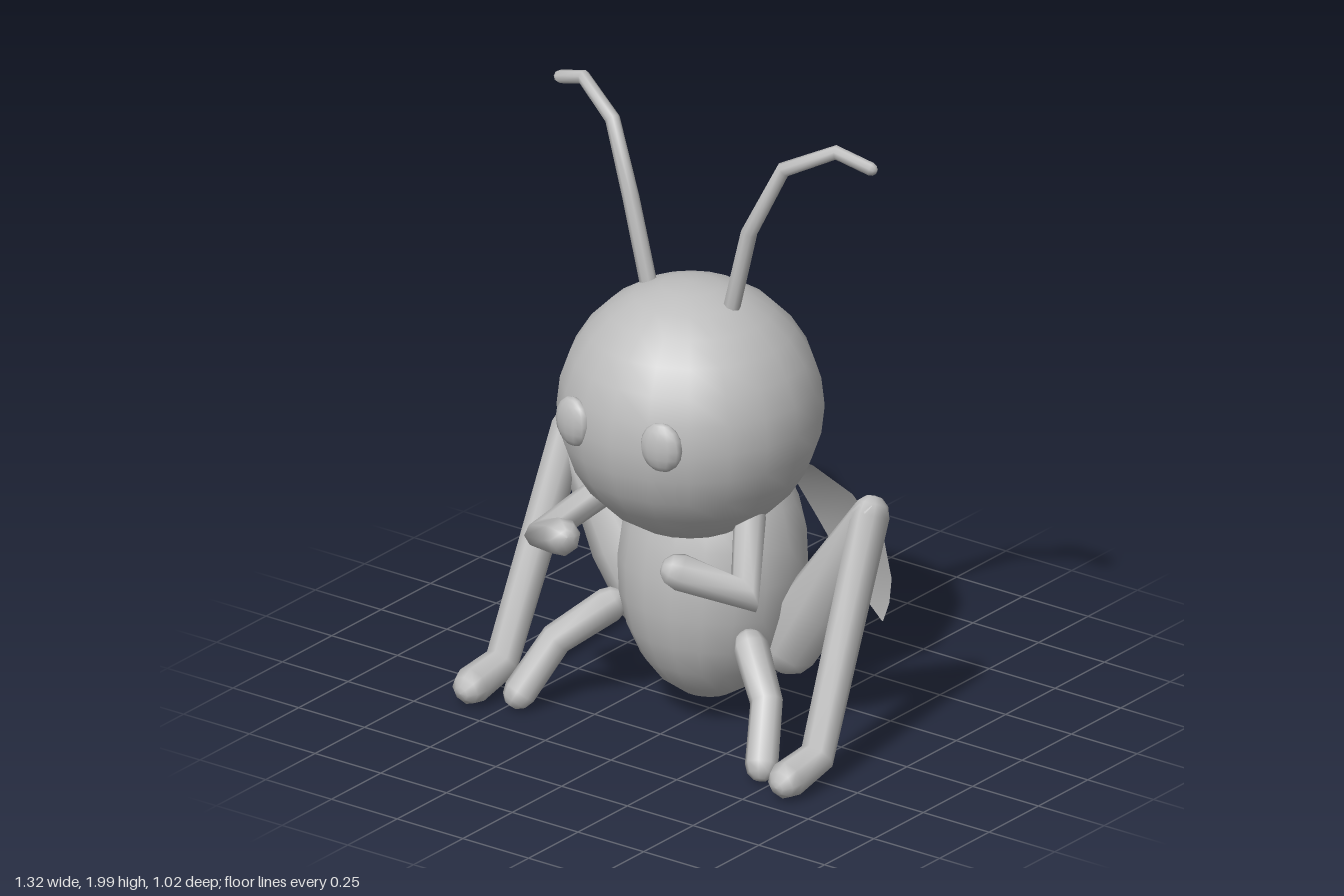
import * as THREE from 'three';

const grey = new THREE.MeshStandardMaterial({ color: 0xbdbdbd });
grey.name = 'grey';
const greyWing = grey.clone();
greyWing.name = 'wing grey';
greyWing.side = THREE.DoubleSide;

function add(parent, name, geometry, material = grey) {
  const mesh = new THREE.Mesh(geometry, material);
  mesh.name = name;
  parent.add(mesh);
  return mesh;
}

// Mitred tube through [x, y, z, radius] points with rounded ends; side mirrors x
function limb(points, side, sides = 8) {
  const base = points.map(([x, y, z, r]) => ({ p: new THREE.Vector3(x * side, y, z), r }));
  const endCap = (end, next) => {
    const d = end.p.clone().sub(next.p).normalize();
    return [[0.6, 0.8], [0.95, 0.4], [1, 0.001]].map(([k, f]) => (
      { p: end.p.clone().addScaledVector(d, end.r * k), r: end.r * f }));
  };
  const n = base.length;
  const path = [
    ...endCap(base[0], base[1]).reverse(), ...base, ...endCap(base[n - 1], base[n - 2]),
  ];
  const dir = (i) => path[i + 1].p.clone().sub(path[i].p).normalize();
  let d = dir(0);
  const u = new THREE.Vector3(0, 0, 1).cross(d).normalize();
  const v = d.clone().cross(u);
  const pos = [], index = [];
  path.forEach(({ p, r }, i) => {
    const next = i < path.length - 1 ? dir(i) : d;
    const t = d.clone().add(next).normalize();
    for (let j = 0; j < sides; j++) {
      const a = (j / sides) * Math.PI * 2;
      const o = u.clone().multiplyScalar(Math.cos(a)).addScaledVector(v, Math.sin(a));
      o.addScaledVector(d, -o.dot(t) / d.dot(t));
      pos.push(...p.clone().addScaledVector(o, r).toArray());
      if (i < path.length - 1) {
        const k = (j + 1) % sides, A = i * sides, B = A + sides;
        index.push(A + j, A + k, B + j, A + k, B + k, B + j);
      }
    }
    const q = new THREE.Quaternion().setFromUnitVectors(d, next);
    u.applyQuaternion(q);
    v.applyQuaternion(q);
    d = next;
  });
  const g = new THREE.BufferGeometry();
  g.setAttribute('position', new THREE.Float32BufferAttribute(pos, 3));
  g.setIndex(index);
  g.computeVertexNormals();
  return g;
}

// Thin curved wing from rows of [y, z, inner x, outer x]
function wing(side) {
  const rows = [
    [0.81, -0.22, 0.07, 0.11], [0.77, -0.27, 0.055, 0.19], [0.66, -0.37, 0.04, 0.265],
    [0.5, -0.455, 0.07, 0.32], [0.35, -0.495, 0.14, 0.32], [0.26, -0.51, 0.2, 0.3],
    [0.19, -0.515, 0.268, 0.272],
  ];
  const pos = [], index = [];
  rows.forEach(([y, z, a, b], i) => {
    pos.push(a * side, y, z, b * side, y, z);
    if (i) {
      const k = i * 2;
      if (side > 0) index.push(k - 2, k, k - 1, k - 1, k, k + 1);
      else index.push(k - 2, k - 1, k, k - 1, k + 1, k);
    }
  });
  const g = new THREE.BufferGeometry();
  g.setAttribute('position', new THREE.Float32BufferAttribute(pos, 3));
  g.setIndex(index);
  g.computeVertexNormals();
  return g;
}

export function createModel() {
  const model = new THREE.Group();
  model.name = 'insect';

  // Head and body
  add(model, 'head', new THREE.SphereGeometry(0.408, 20, 14)).position.set(0, 1.05, 0.097);
  const body = add(model, 'body', new THREE.SphereGeometry(1, 18, 12));
  body.scale.set(0.295, 0.435, 0.285);
  body.position.set(0, 0.5, -0.015);
  body.rotation.x = -0.08;

  for (const side of [1, -1]) {
    const half = new THREE.Group();
    half.name = side > 0 ? 'leftSide' : 'rightSide';
    model.add(half);

    const eye = add(half, 'eye', new THREE.SphereGeometry(1, 12, 8));
    eye.scale.set(0.07, 0.08, 0.035);
    eye.position.set(0.168 * side, 1.08, 0.468);
    eye.rotation.y = 0.2 * side;

    add(half, 'antenna', limb([
      [0.155, 1.4, 0.1, 0.027], [0.225, 1.68, 0.1, 0.026], [0.325, 1.9, 0.06, 0.023],
      [0.48, 1.977, 0, 0.021], [0.59, 1.94, -0.03, 0.021],
    ], side));

    add(half, 'frontLeg', limb([
      [0.25, 0.75, 0.13, 0.05], [0.385, 0.605, 0.335, 0.045], [0.225, 0.675, 0.45, 0.06],
    ], side));

    add(half, 'middleLeg', limb([
      [0.27, 0.335, 0.15, 0.055], [0.4, 0.22, 0.245, 0.05], [0.46, 0.065, 0.35, 0.052],
    ], side));

    add(half, 'hindThigh', limb([
      [0.27, 0.27, -0.055, 0.092], [0.37, 0.44, -0.06, 0.105], [0.565, 0.775, -0.055, 0.06],
    ], side));
    add(half, 'hindShin', limb([
      [0.57, 0.78, -0.055, 0.06], [0.6, 0.095, 0.255, 0.053], [0.6, 0.07, 0.405, 0.06],
    ], side));

    add(half, 'wing', wing(side), greyWing);
  }
  return model;
}
